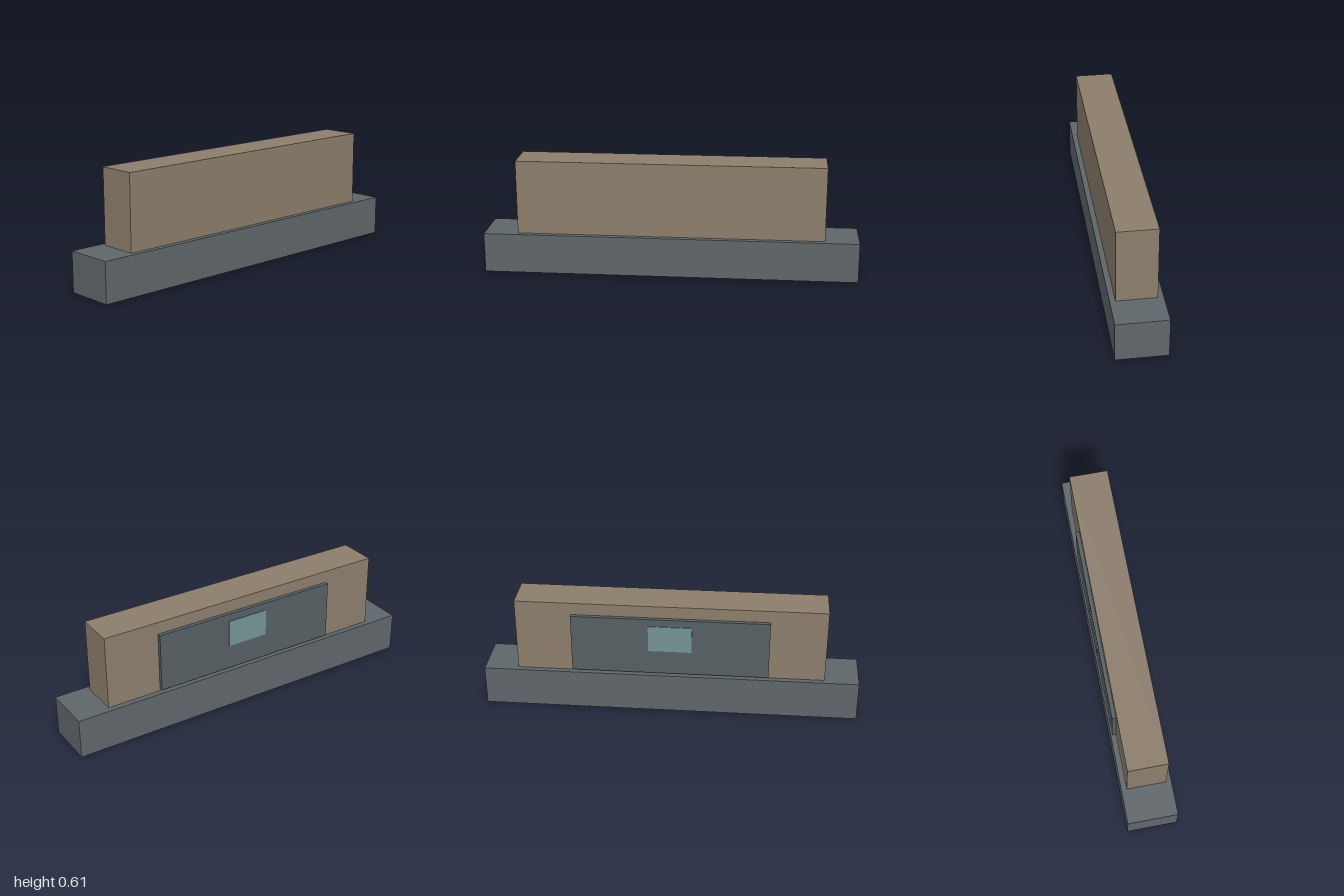
import * as THREE from 'three';

// Adds a box given by its extents along each axis
function addBox(group, name, color, [x0, x1], [y0, y1], [z0, z1]) {
  const mesh = new THREE.Mesh(
    new THREE.BoxGeometry(x1 - x0, y1 - y0, z1 - z0),
    new THREE.MeshStandardMaterial({ color })
  );
  mesh.position.set((x0 + x1) / 2, (y0 + y1) / 2, (z0 + z1) / 2);
  mesh.name = name;
  group.add(mesh);
}

export function createModel() {
  const group = new THREE.Group();
  group.name = 'counter';

  // Wide plinth and the upright block on it
  addBox(group, 'base', 0x5f6669, [-1, 1], [0, 0.214], [-0.133, 0.133]);
  addBox(group, 'body', 0x8b7d6b, [-0.82, 0.82], [0.214, 0.613], [-0.104, 0.104]);

  // Thin panel on the back with a small inset plate
  addBox(group, 'backPanel', 0x566064, [-0.523, 0.523], [0.227, 0.547], [-0.125, -0.104]);
  addBox(group, 'panelPlate', 0x759393, [-0.115, 0.115], [0.361, 0.507], [-0.129, -0.125]);

  return group;
}
